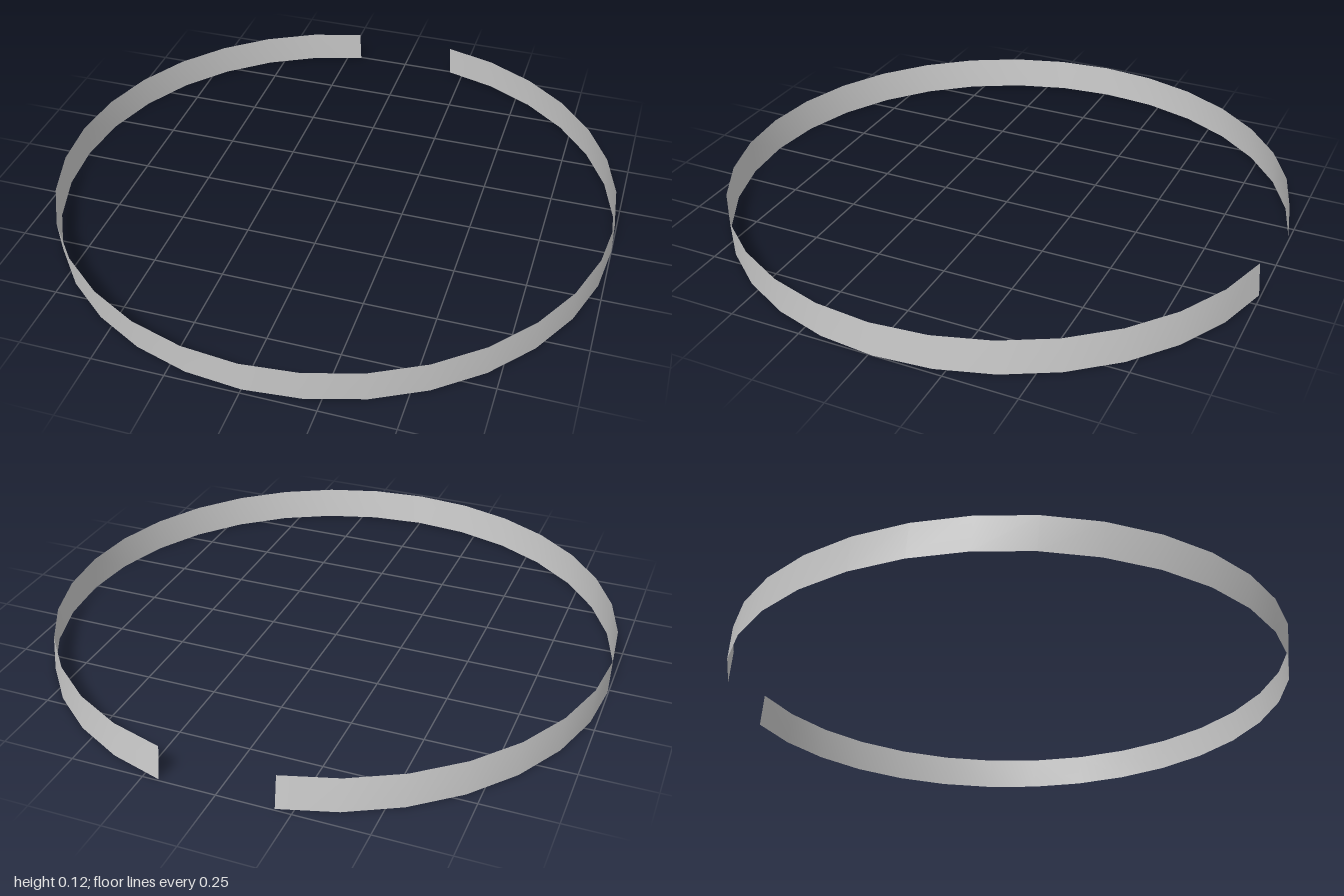
import * as THREE from 'three';

const HEIGHT = 0.12;
const STEP = Math.PI / 16; // 32 facets in a full turn, two left open at the back

export function createModel() {
  const group = new THREE.Group();
  group.name = 'openRing';

  // Thin upright band with a gap centred on the back
  const geometry = new THREE.CylinderGeometry(
    0.999, 0.999, HEIGHT, 30, 1, true, Math.PI + STEP, 2 * Math.PI - 2 * STEP
  );
  geometry.translate(0, HEIGHT / 2, -0.0145);

  // The band leans slightly forward: the top edge is shifted against the bottom
  const pos = geometry.attributes.position;
  for (let i = 0; i < pos.count; i++) {
    const t = pos.getY(i) / HEIGHT;
    pos.setX(i, pos.getX(i) + 0.0015 - 0.003 * t);
    pos.setZ(i, pos.getZ(i) + 0.01 * t);
  }
  geometry.computeVertexNormals();

  const band = new THREE.Mesh(
    geometry,
    new THREE.MeshStandardMaterial({ color: 0xcccccc, side: THREE.DoubleSide })
  );
  band.name = 'band';
  group.add(band);
  return group;
}
